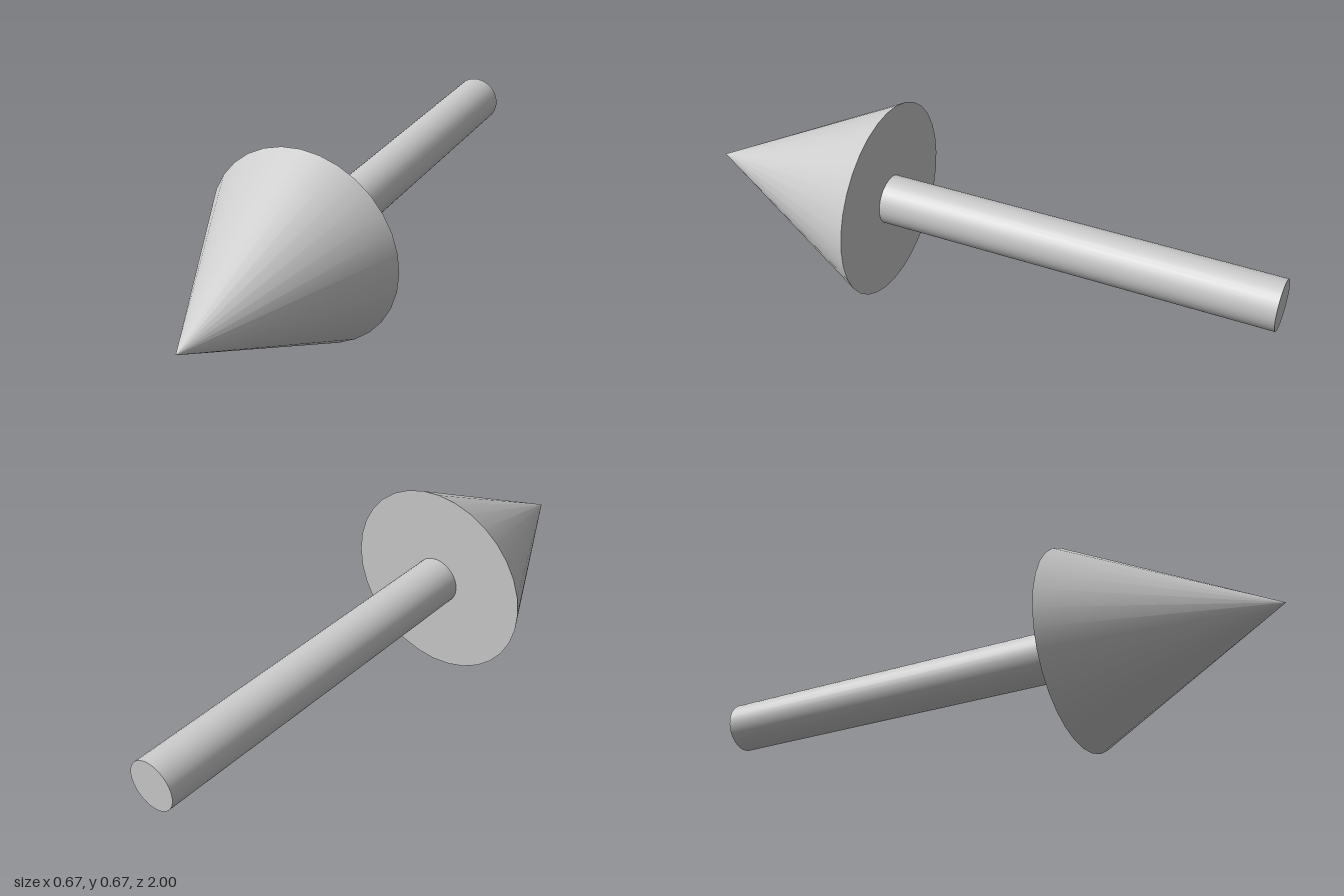
import * as THREE from 'three';

export function createModel() {
  const group = new THREE.Group();
  group.name = 'arrow';
  const material = new THREE.MeshStandardMaterial({ color: 0xcccccc });
  const sides = 32;
  const headRadius = 1 / 3, shaftRadius = 1 / 12;
  const tipZ = 1, neckZ = 1 / 3, tailZ = -1;

  // Lays a y-axis geometry along z, spanning back to front
  const addPart = (name, geometry, back, front) => {
    geometry.rotateX(Math.PI / 2);
    const mesh = new THREE.Mesh(geometry, material);
    mesh.name = name;
    mesh.position.set(0, headRadius, (back + front) / 2);
    group.add(mesh);
  };

  // Pointed head facing forward
  addPart('arrowHead', new THREE.ConeGeometry(headRadius, tipZ - neckZ, sides), neckZ, tipZ);
  // Straight round shaft behind it
  addPart('shaft', new THREE.CylinderGeometry(shaftRadius, shaftRadius, neckZ - tailZ, sides), tailZ, neckZ);

  return group;
}
